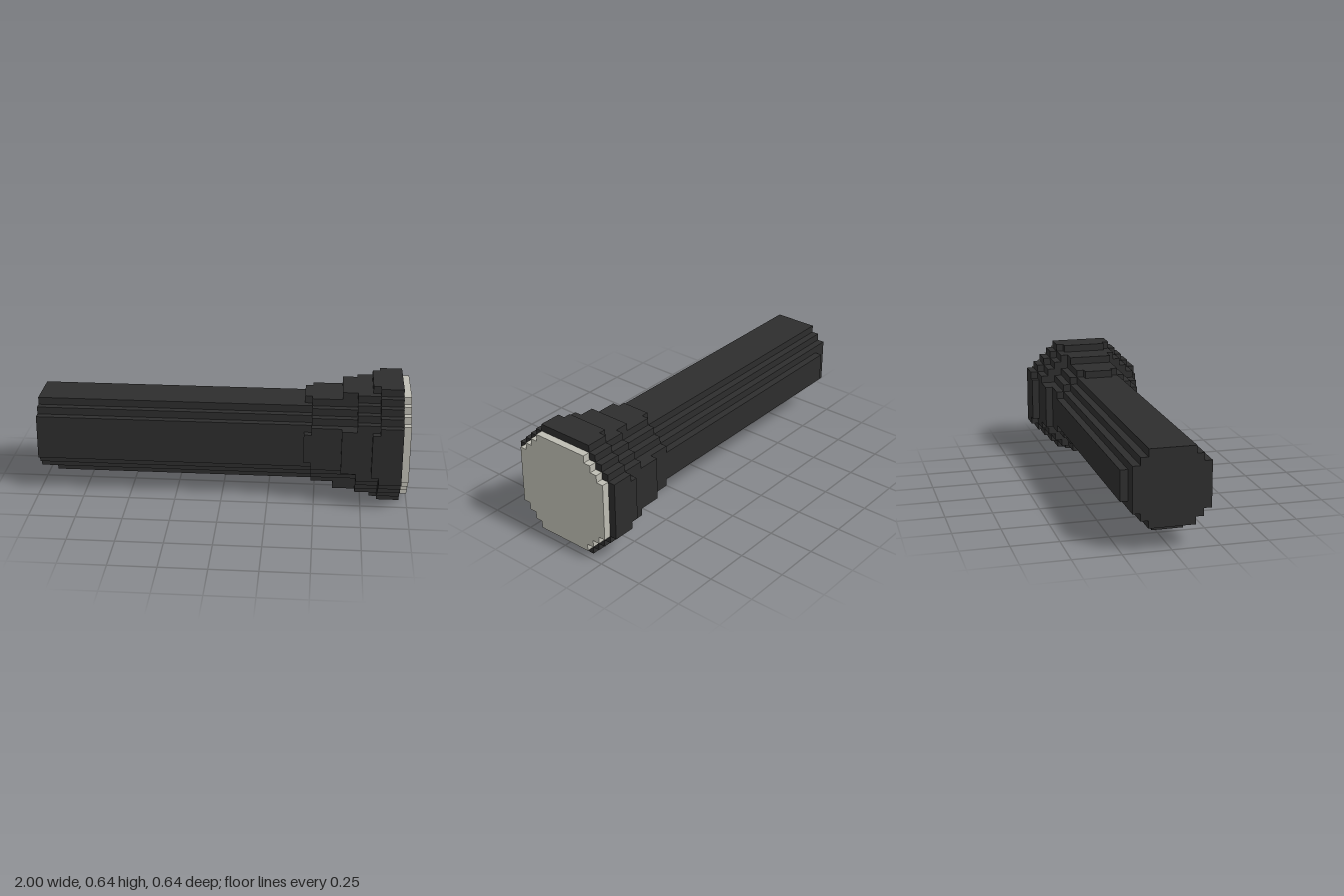
import * as THREE from 'three';

const U = 0.04; // one block
const CENTER_Y = 0.32;

// Stepped octagon: radius r and half-width f of its flat sides, in blocks
function steppedDisc(r, f) {
  const quarter = [];
  for (let i = 0; i < r - f; i++) {
    quarter.push([r - i, f + i], [r - i - 1, f + i]);
  }
  quarter.push([f, r]);
  const points = [];
  for (let q = 0; q < 4; q++) {
    for (const p of quarter) {
      let [x, y] = p;
      for (let k = 0; k < q; k++) [x, y] = [-y, x];
      points.push(new THREE.Vector2(x * U, y * U));
    }
  }
  return new THREE.Shape(points);
}

export function createModel() {
  const casing = new THREE.MeshStandardMaterial({ color: 0x2d2d2d });
  casing.name = 'dark casing';
  const glass = new THREE.MeshStandardMaterial({ color: 0xbebdb3 });
  glass.name = 'pale lens';

  const model = new THREE.Group();
  model.name = 'flashlight';

  // Section of the tube between two x positions
  function section(name, r, f, x0, x1, material) {
    const geometry = new THREE.ExtrudeGeometry(steppedDisc(r, f), { depth: x1 - x0, bevelEnabled: false });
    geometry.rotateY(Math.PI / 2);
    const mesh = new THREE.Mesh(geometry, material);
    mesh.name = name;
    mesh.position.set(x0, CENTER_Y, 0);
    model.add(mesh);
  }

  // One-block-thick plate lying on a flat side of radius r
  const sides = { top: [1, 0], bottom: [-1, 0], front: [0, 1], back: [0, -1] };
  function plate(name, side, r, half, x0, x1) {
    const [dy, dz] = sides[side];
    const width = 2 * half * U;
    const mesh = new THREE.Mesh(new THREE.BoxGeometry(x1 - x0, dy ? U : width, dz ? U : width), casing);
    mesh.name = side + name;
    mesh.position.set((x0 + x1) / 2, CENTER_Y + dy * (r + 0.5) * U, dz * (r + 0.5) * U);
    model.add(mesh);
  }

  // Handle, flaring neck, head and lens
  section('handle', 5, 3, -1, 0.48, casing);
  section('neck', 6, 3, 0.48, 0.72, casing);
  section('collar', 7, 4, 0.72, 0.84, casing);
  section('headRim', 8, 4, 0.84, 0.96, casing);
  section('lens', 7, 4, 0.96, 1, glass);

  // Long ribs below and behind, short leading plates at each flare
  for (const side of Object.keys(sides)) {
    const ribbed = side === 'bottom' || side === 'back';
    plate('Rib', side, 5, 2, ribbed ? -0.92 : 0.44, 0.48);
    plate('NeckPlate', side, 6, 3, ribbed ? 0.6 : 0.64, 0.72);
    plate('HeadPlate', side, 7, 3, 0.8, 0.84);
  }
  return model;
}
